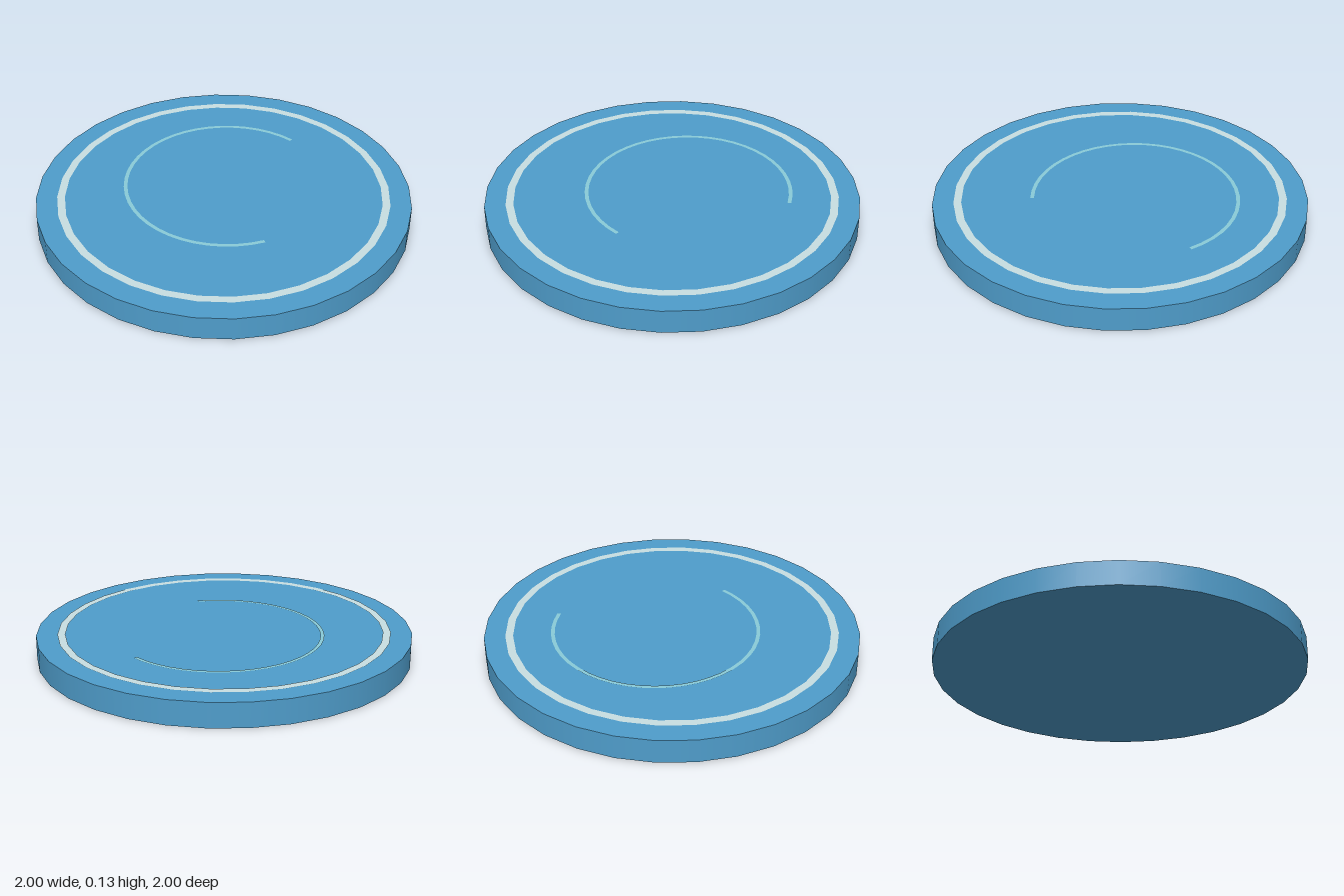
import * as THREE from 'three';

const HEIGHT = 0.13;

// Flat band lying on the top face of the disc
function flatBand(name, inner, outer, segments, start, sweep, color) {
  const geometry = new THREE.RingGeometry(inner, outer, segments, 1, start, sweep);
  geometry.rotateX(-Math.PI / 2);
  const material = new THREE.MeshStandardMaterial({ color, side: THREE.DoubleSide });
  const mesh = new THREE.Mesh(geometry, material);
  mesh.name = name;
  return mesh;
}

export function createModel() {
  const model = new THREE.Group();
  model.name = 'disc';

  // Solid round body
  const body = new THREE.Mesh(
    new THREE.CylinderGeometry(1, 1, HEIGHT, 32),
    new THREE.MeshStandardMaterial({ color: 0x4f9dcb })
  );
  body.name = 'body';
  body.position.y = HEIGHT / 2;
  model.add(body);

  // Pale ring near the rim
  const rimRing = flatBand('rimRing', 0.847, 0.888, 32, 0, Math.PI * 2, 0xc8dfe2);
  rimRing.position.y = HEIGHT + 0.003;
  model.add(rimRing);

  // Thin open arc, slightly off centre
  const arc = flatBand('innerArc', 0.538, 0.558, 32, 0, 4.23, 0x8accd8);
  arc.position.set(0.078, HEIGHT + 0.004, -0.047);
  model.add(arc);

  return model;
}
